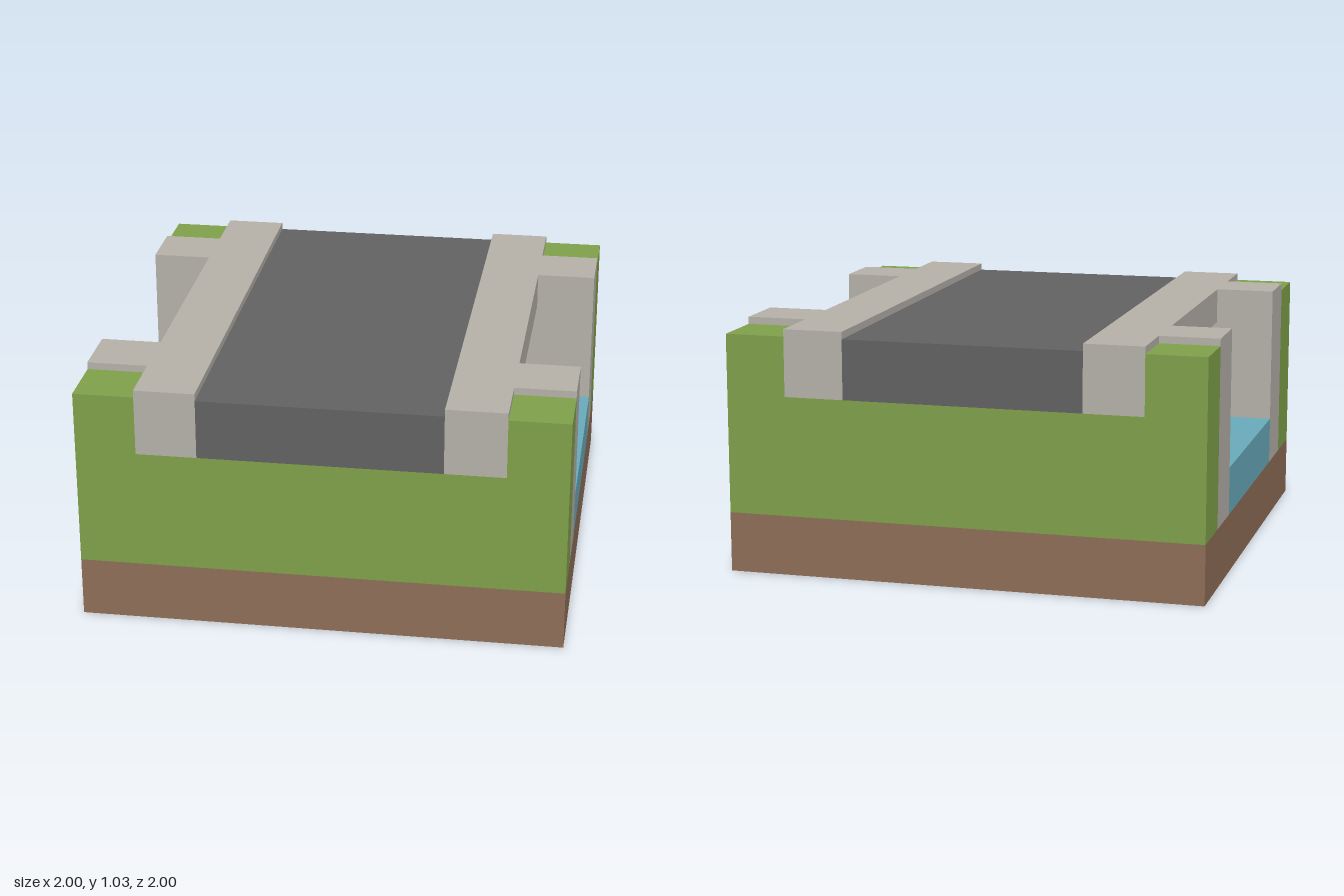
import * as THREE from 'three';

const material = (name, color) => {
  const m = new THREE.MeshStandardMaterial({ color, side: THREE.DoubleSide });
  m.name = name;
  return m;
};

// Turns that make a flat sheet (drawn facing +z) face another way
const TURN = {
  front: [0, 0, 0], back: [0, Math.PI, 0],
  left: [0, Math.PI / 2, 0], right: [0, -Math.PI / 2, 0],
  up: [-Math.PI / 2, 0, 0], down: [Math.PI / 2, 0, 0],
};

const rect = (x0, y0, x1, y1) => [[x0, y0], [x1, y0], [x1, y1], [x0, y1]];

export function createModel() {
  const soil = material('soil', 0x8d6d57);
  const grass = material('grass', 0x7fa04a);
  const stone = material('stone', 0xb4b0a8);
  const asphalt = material('asphalt', 0x616161);
  const water = material('water', 0x68a9ba);

  // Flat polygon, turned to face a direction and moved into place
  function sheet(parent, name, mat, points, facing, x, y, z) {
    const shape = new THREE.Shape(points.map(([a, b]) => new THREE.Vector2(a, b)));
    const mesh = new THREE.Mesh(new THREE.ShapeGeometry(shape), mat);
    mesh.name = name;
    mesh.rotation.set(...TURN[facing]);
    mesh.position.set(x, y, z);
    parent.add(mesh);
  }

  const BASE = 0.25, WATER = 0.45, BEAM = 0.88, ROAD = 1, KERB = 1.03;

  // One half of the shell: the end wall, one bank side and its kerb
  function half(name) {
    const g = new THREE.Group();
    g.name = name;

    // End wall, with grass notched around the road and kerbs
    sheet(g, 'soilEnd', soil, rect(-1, 0, 1, BASE), 'front', 0, 0, 1);
    sheet(g, 'grassEnd', grass, [[-1, BASE], [1, BASE], [1, ROAD], [0.75, ROAD],
      [0.75, 0.75], [-0.75, 0.75], [-0.75, ROAD], [-1, ROAD]], 'front', 0, 0, 1);
    sheet(g, 'roadEnd', asphalt, rect(-0.5, 0.75, 0.5, ROAD), 'front', 0, 0, 1);

    // Side wall with the channel opening
    sheet(g, 'soilSide', soil, rect(-1, 0, 1, BASE), 'left', 1, 0, 0);
    sheet(g, 'waterSide', water, rect(-0.5, BASE, 0.5, WATER), 'left', 1, 0, 0);
    sheet(g, 'bridgeBeam', stone, rect(-0.5, BEAM, 0.5, KERB), 'left', 0.75, 0, 0);

    // Abutment wall facing the channel
    sheet(g, 'abutmentWall', stone, [[-1, WATER], [1, WATER], [1, KERB], [0.75, KERB],
      [0.75, BEAM], [-0.75, BEAM], [-0.75, KERB], [-1, KERB]], 'back', 0, 0, 0.5);

    // Kerb top with the two abutment caps
    sheet(g, 'kerbTop', stone, [[0.5, -1], [0.75, -1], [0.75, -0.75], [1, -0.75],
      [1, -0.5], [0.75, -0.5], [0.75, 0.5], [1, 0.5], [1, 0.75], [0.75, 0.75],
      [0.75, 1], [0.5, 1]], 'up', 0, KERB, 0);
    sheet(g, 'kerbInnerLip', stone, rect(-1, ROAD, 1, KERB), 'right', 0.5, 0, 0);

    for (const s of [-1, 1]) {
      sheet(g, 'kerbEnd', stone, rect(-0.125, 0.75, 0.125, KERB), 'front', s * 0.625, 0, 1);
      sheet(g, 'abutmentSide', stone, rect(-0.125, BASE, 0.125, KERB), 'left', 1, 0, s * 0.625);
      sheet(g, 'grassSide', grass, rect(-0.125, BASE, 0.125, ROAD), 'left', 1, 0, s * 0.875);
      sheet(g, 'grassTop', grass, rect(-0.125, -0.125, 0.125, 0.125), 'up', 0.875, ROAD, s * 0.875);
      sheet(g, 'kerbOuterLip', stone, rect(-0.125, ROAD, 0.125, KERB), 'left', 0.75, 0, s * 0.875);
      sheet(g, 'abutmentCapLip', stone, rect(-0.125, ROAD, 0.125, KERB),
        s > 0 ? 'front' : 'back', 0.875, 0, s * 0.75);
    }
    return g;
  }

  const model = new THREE.Group();
  model.name = 'riverBridgeTile';
  const frontHalf = half('frontHalf');
  const backHalf = half('backHalf');
  backHalf.rotation.y = Math.PI;
  model.add(frontHalf, backHalf);

  // Road deck, bridge underside and water surface
  sheet(model, 'roadTop', asphalt, rect(-0.5, -1, 0.5, 1), 'up', 0, ROAD, 0);
  sheet(model, 'bridgeUnderside', stone, rect(-0.75, -0.5, 0.75, 0.5), 'down', 0, BEAM, 0);
  sheet(model, 'waterSurface', water, rect(-1, -0.5, 1, 0.5), 'up', 0, WATER, 0);
  return model;
}
